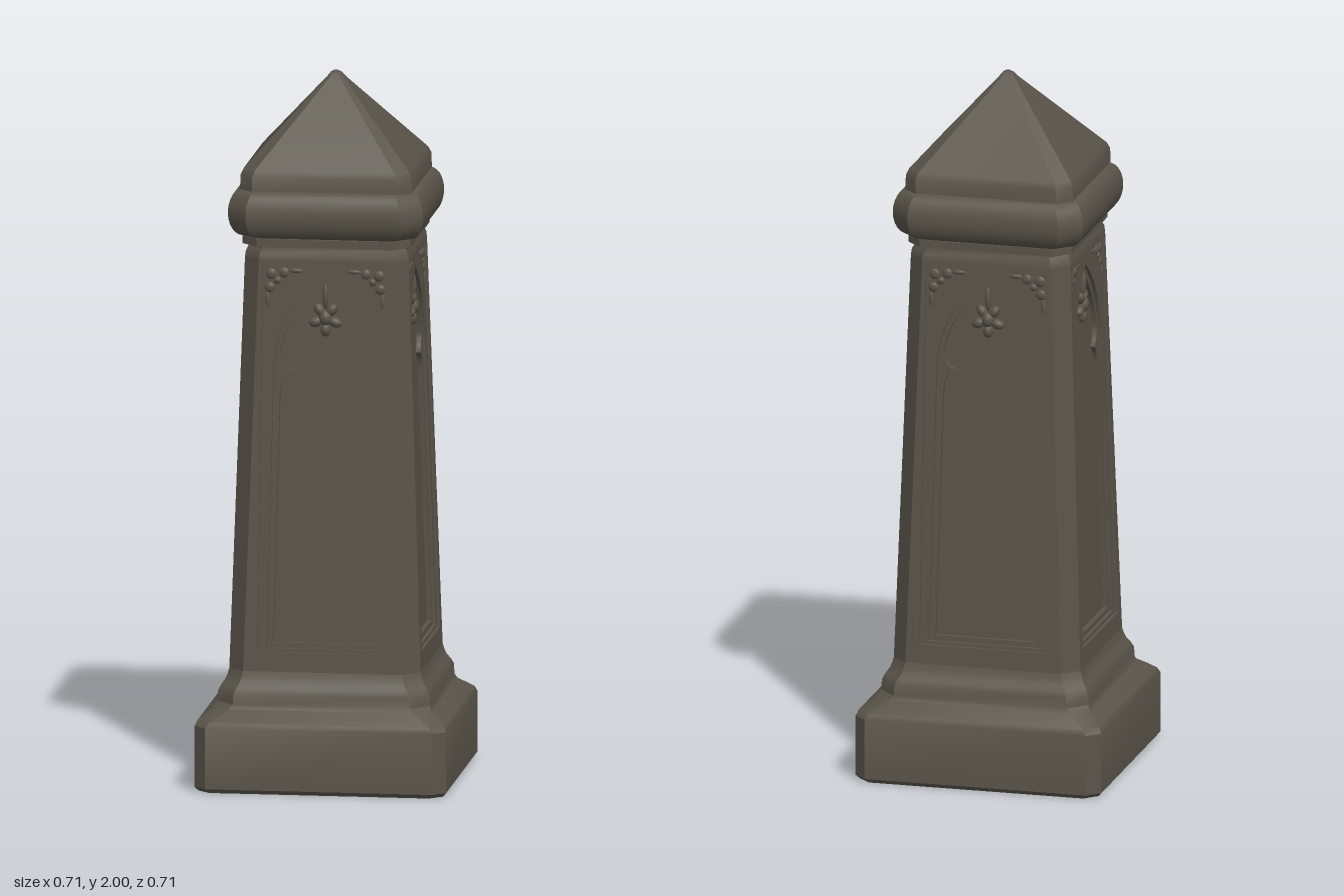
import * as THREE from 'three';
import { toCreasedNormals } from 'three/addons/utils/BufferGeometryUtils.js';

const stone = new THREE.MeshStandardMaterial({ color: 0x5a554a });
stone.name = 'weathered stone';

const Y0 = 0.33, Y1 = 1.5, CHAMFER = 0.045, RECESS = 0.03;
// half width of the tapering shaft at height y
const half = (y) => 0.27 + (0.231 - 0.27) * (y - Y0) / (Y1 - Y0);

// square with cut corners, half width h, chamfer c
function ring(h, c, y) {
  const k = h - c;
  return [[h, -k], [h, k], [k, h], [-k, h], [-h, k], [-h, -k], [-k, -h], [k, -h]]
    .map(([x, z]) => [x, y, z]);
}

// closed solid through rings given as [y, half width, chamfer]
function loft(name, profile) {
  const rings = profile.map(([y, h, c]) => ring(h, c, y));
  const out = [];
  const tri = (...p) => p.forEach((v) => out.push(...v));
  for (let r = 0; r < rings.length - 1; r++) {
    const a = rings[r], b = rings[r + 1];
    for (let i = 0; i < 8; i++) {
      const j = (i + 1) % 8;
      tri(a[i], b[i], a[j]);
      tri(a[j], b[i], b[j]);
    }
  }
  const bottom = rings[0], top = rings[rings.length - 1];
  for (let i = 1; i < 7; i++) {
    tri(bottom[0], bottom[i], bottom[i + 1]);
    tri(top[0], top[i + 1], top[i]);
  }
  const g = new THREE.BufferGeometry();
  g.setAttribute('position', new THREE.Float32BufferAttribute(out, 3));
  return named(name, toCreasedNormals(g, 0.5));
}

function named(name, geometry) {
  const m = new THREE.Mesh(geometry, stone);
  m.name = name;
  return m;
}

const polygon = (pts) => new THREE.Shape(pts.map(([x, y]) => new THREE.Vector2(x, y)));
const panelOutline = (grow) => polygon([
  [-0.185 - grow, 0.39 - grow], [0.185 + grow, 0.39 - grow],
  [0.175 + grow, 1.485 + grow], [-0.175 - grow, 1.485 + grow]]);

// pointed arch opening; cusp > 0 adds points inside the springing
function arch(w, sill, apex, cusp) {
  const s = new THREE.Shape();
  const spring = 1.2, t = w - 0.008;
  s.moveTo(-w - 0.008, sill);
  s.lineTo(w + 0.008, sill);
  if (cusp) {
    s.lineTo(t, 1.12);
    s.quadraticCurveTo(t - 0.004, 1.175, t - cusp, 1.185);
    s.quadraticCurveTo(t - 0.008, 1.19, t, spring + 0.03);
  } else s.lineTo(t, spring);
  s.quadraticCurveTo(t - 0.012, apex - 0.09, 0, apex);
  s.quadraticCurveTo(-t + 0.012, apex - 0.09, -t, cusp ? spring + 0.03 : spring);
  if (cusp) {
    s.quadraticCurveTo(-t + 0.008, 1.19, -t + cusp, 1.185);
    s.quadraticCurveTo(-t + 0.004, 1.175, -t, 1.12);
  }
  s.closePath();
  return s;
}

// pierced plate laid on the sloping shaft face, its front sunk by `inset`
function plate(name, outline, hole, inset) {
  outline.holes.push(hole);
  const depth = RECESS - inset + 0.001;
  const g = new THREE.ExtrudeGeometry(outline, { depth, bevelEnabled: false, curveSegments: 14 });
  const p = g.attributes.position;
  for (let i = 0; i < p.count; i++) {
    const x = p.getX(i), y = p.getY(i), back = depth - p.getZ(i);
    // outer edges follow the corner chamfer
    if (Math.abs(x) > half(y) - CHAMFER - 0.003) p.setX(i, x + Math.sign(x) * back);
    p.setZ(i, half(y) - inset - back);
  }
  return named(name, toCreasedNormals(g, 0.6));
}

// flattened rounded lobe of carved foliage
function lobe(name, x, y, rx, ry, inset, rz, turn = 0) {
  const m = named(name, new THREE.SphereGeometry(1, 14, 10));
  m.scale.set(rx, ry, rz);
  m.rotation.z = turn;
  m.position.set(x, y, half(y) - inset);
  return m;
}

function carvedFace() {
  const g = new THREE.Group();
  const b = half(Y0) - CHAMFER, t = half(Y1) - CHAMFER;
  g.add(plate('panelFrame', polygon([[-b, Y0], [b, Y0], [t, Y1], [-t, Y1]]), panelOutline(0), 0));
  g.add(plate('archPlate', panelOutline(0.004), arch(0.152, 0.4, 1.452, 0), 0.008));
  g.add(plate('cuspedArch', panelOutline(0.003), arch(0.135, 0.415, 1.43, 0.035), 0.017));

  // hanging leaf under the arch point
  g.add(lobe('leafStem', 0, 1.395, 0.008, 0.035, 0.02, 0.012));
  g.add(lobe('leafHeart', 0, 1.335, 0.018, 0.022, 0.02, 0.018));
  for (let i = 0; i < 5; i++) {
    const a = -Math.PI / 2 + i * Math.PI * 2 / 5;
    g.add(lobe('leafLobe', Math.cos(a) * 0.029, 1.332 + Math.sin(a) * 0.031, 0.02, 0.014, 0.023, 0.014, a));
  }
  // trefoils in the spandrels
  for (const s of [-1, 1]) {
    for (const [x, y, r] of [[0.152, 1.458, 0.016], [0.115, 1.462, 0.015], [0.156, 1.42, 0.015], [0.134, 1.44, 0.011]])
      g.add(lobe('spandrelTrefoil', s * x, y, r, r, 0.01, 0.008));
    g.add(lobe('spandrelLeaf', s * 0.082, 1.468, 0.02, 0.007, 0.01, 0.006));
    g.add(lobe('spandrelLeaf', s * 0.162, 1.385, 0.006, 0.022, 0.01, 0.006));
  }
  return g;
}

export function createModel() {
  const model = new THREE.Group();
  model.name = 'stonePillar';

  model.add(loft('plinth', [
    [0, 0.345, 0.035], [0.012, 0.355, 0.035], [0.185, 0.355, 0.035], [0.2, 0.348, 0.037],
    [0.232, 0.306, 0.045], [0.245, 0.3, 0.05], [0.275, 0.298, 0.05], [0.29, 0.291, 0.05],
    [0.305, 0.28, 0.048], [0.32, 0.274, 0.046], [0.335, 0.27, 0.045]]));

  // shaft core forms the panel floors and the corner chamfers
  const cut = CHAMFER - 2 * RECESS;
  model.add(loft('shaftCore', [Y0, Y1].map((y) => [y, half(y) - RECESS, cut])));

  for (let i = 0; i < 4; i++) {
    const face = carvedFace();
    face.name = 'carvedFace' + (i + 1);
    face.rotation.y = i * Math.PI / 2;
    model.add(face);
  }

  model.add(loft('neck', [
    [1.498, 0.231, 0.045], [1.515, 0.229, 0.045], [1.53, 0.222, 0.044], [1.535, 0.222, 0.044],
    [1.537, 0.237, 0.045], [1.558, 0.237, 0.045]]));

  // rounded collar moulding
  const roll = [];
  for (let i = 0; i <= 12; i++) {
    const a = -Math.PI / 2 + Math.PI * i / 12;
    roll.push([1.628 + 0.068 * Math.sin(a), 0.235 + 0.04 * Math.cos(a), 0.045 + 0.012 * Math.cos(a)]);
  }
  model.add(loft('collarRoll', roll));

  model.add(loft('pyramidCap', [
    [1.685, 0.243, 0.04], [1.735, 0.241, 0.038], [1.752, 0.233, 0.036],
    [1.98, 0.026, 0.01], [1.994, 0.015, 0.006], [2, 0.005, 0.002]]));
  return model;
}
